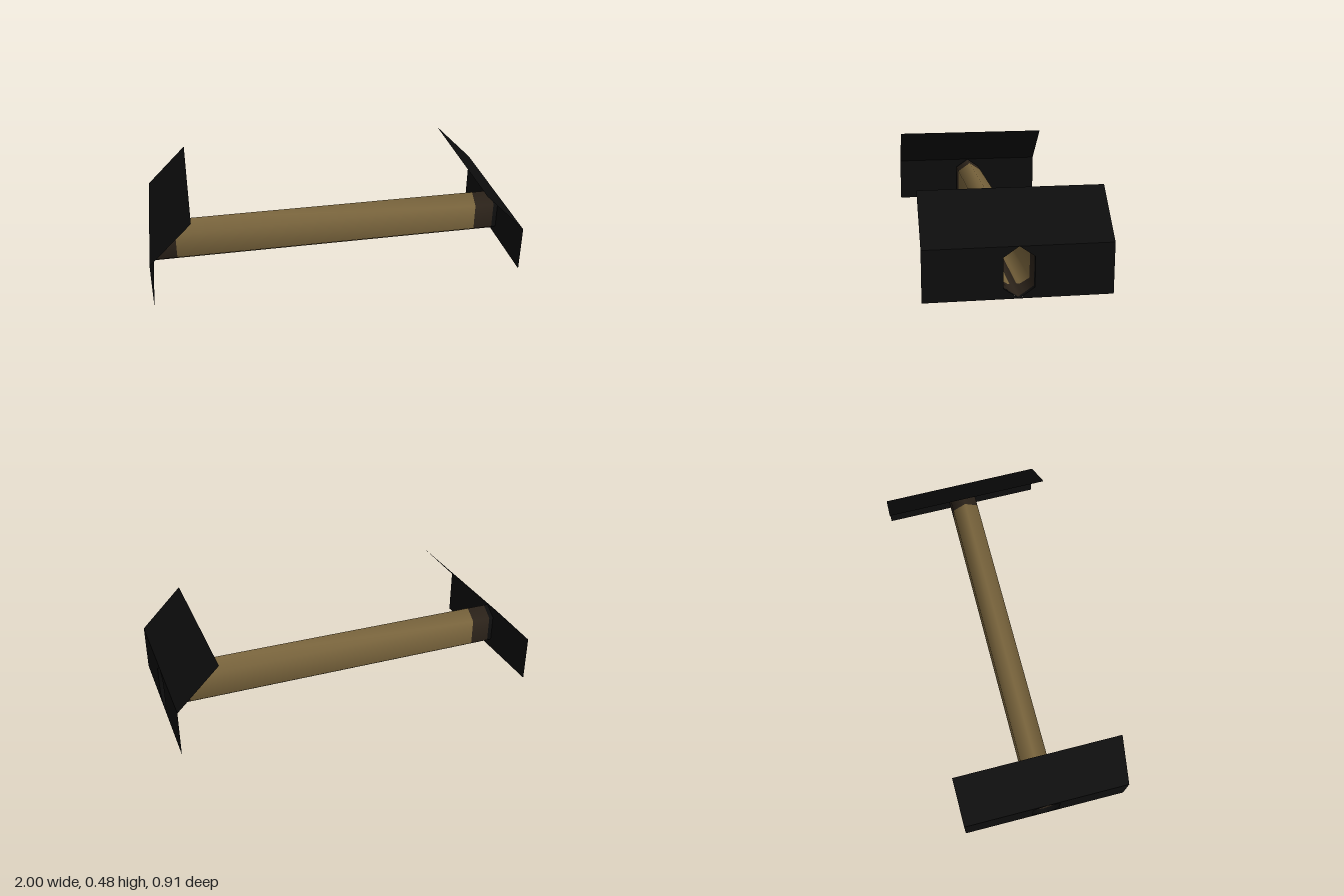
import * as THREE from 'three';

const flat = (name, color) => {
  const m = new THREE.MeshStandardMaterial({ color, side: THREE.DoubleSide });
  m.name = name;
  return m;
};

// Open hexagonal tube along x, built as a grid: columns across x, rows round the ring
function tubeGeometry() {
  // [z, y, half width of the brown panel]
  const half = [
    [0, 0, 0.83], [0.017, 0.012, 0.83], [0.029, 0.02, 0.855],
    [0.075, 0.052, 0.865], [0.075, 0.203, 0.865], [0, 0.255, 0.865],
  ];
  const mirrored = half.slice(1, -1).reverse().map(([z, y, w]) => [-z, y, w]);
  const ring = [...half, ...mirrored];
  const n = ring.length;
  const positions = [], indices = [];
  for (const [z, y, w] of ring) {
    for (const x of [-1, -0.975, -w, w, 0.975, 1]) positions.push(x, y, z);
  }
  const geometry = new THREE.BufferGeometry();
  const columnMaterial = [2, 1, 0, 1, 2];
  for (let c = 0; c < 5; c++) {
    for (let r = 0; r < n; r++) {
      const a = r * 6 + c, b = ((r + 1) % n) * 6 + c;
      // the strip along the bottom ridge stays dark
      const ridge = c === 2 && (r === 0 || r === n - 1);
      geometry.addGroup(indices.length, 6, ridge ? 1 : columnMaterial[c]);
      indices.push(a, a + 1, b, a + 1, b + 1, b);
    }
  }
  geometry.setAttribute('position', new THREE.Float32BufferAttribute(positions, 3));
  geometry.setIndex(indices);
  geometry.computeVertexNormals();
  return geometry;
}

// One half of the upright panel, cut round the tube opening
function panelHalf(side) {
  const outline = [[0, 0], [0.455, 0], [0.455, 0.255], [0, 0.255], [0.075, 0.203], [0.075, 0.052]];
  return new THREE.Shape(outline.map(([z, y]) => new THREE.Vector2(z * side, y)));
}

function endPlate(material) {
  const plate = new THREE.Group();
  const panel = new THREE.Mesh(new THREE.ShapeGeometry([panelHalf(1), panelHalf(-1)]), material);
  panel.name = 'uprightPanel';
  panel.rotation.y = Math.PI / 2;
  panel.position.x = 1;

  // Flap leaning inward from the top of the panel
  const flapGeometry = new THREE.PlaneGeometry(0.91, Math.hypot(0.225, 0.225));
  flapGeometry.rotateY(Math.PI / 2).rotateZ(Math.PI / 4);
  const flap = new THREE.Mesh(flapGeometry, material);
  flap.name = 'slopedFlap';
  flap.position.set(0.8875, 0.3675, 0);
  plate.add(panel, flap);
  return plate;
}

export function createModel() {
  const brown = flat('brown', 0x7a653d);
  const darkBrown = flat('darkBrown', 0x2c231a);
  const black = flat('black', 0x0d0d0d);

  const model = new THREE.Group();
  model.name = 'crossbarWithEndPlates';

  const tube = new THREE.Mesh(tubeGeometry(), [brown, darkBrown, black]);
  tube.name = 'hexagonalTube';
  model.add(tube);

  ['leftEndPlate', 'rightEndPlate'].forEach((name, i) => {
    const plate = endPlate(black);
    plate.name = name;
    plate.rotation.y = i * Math.PI;
    model.add(plate);
  });
  return model;
}
